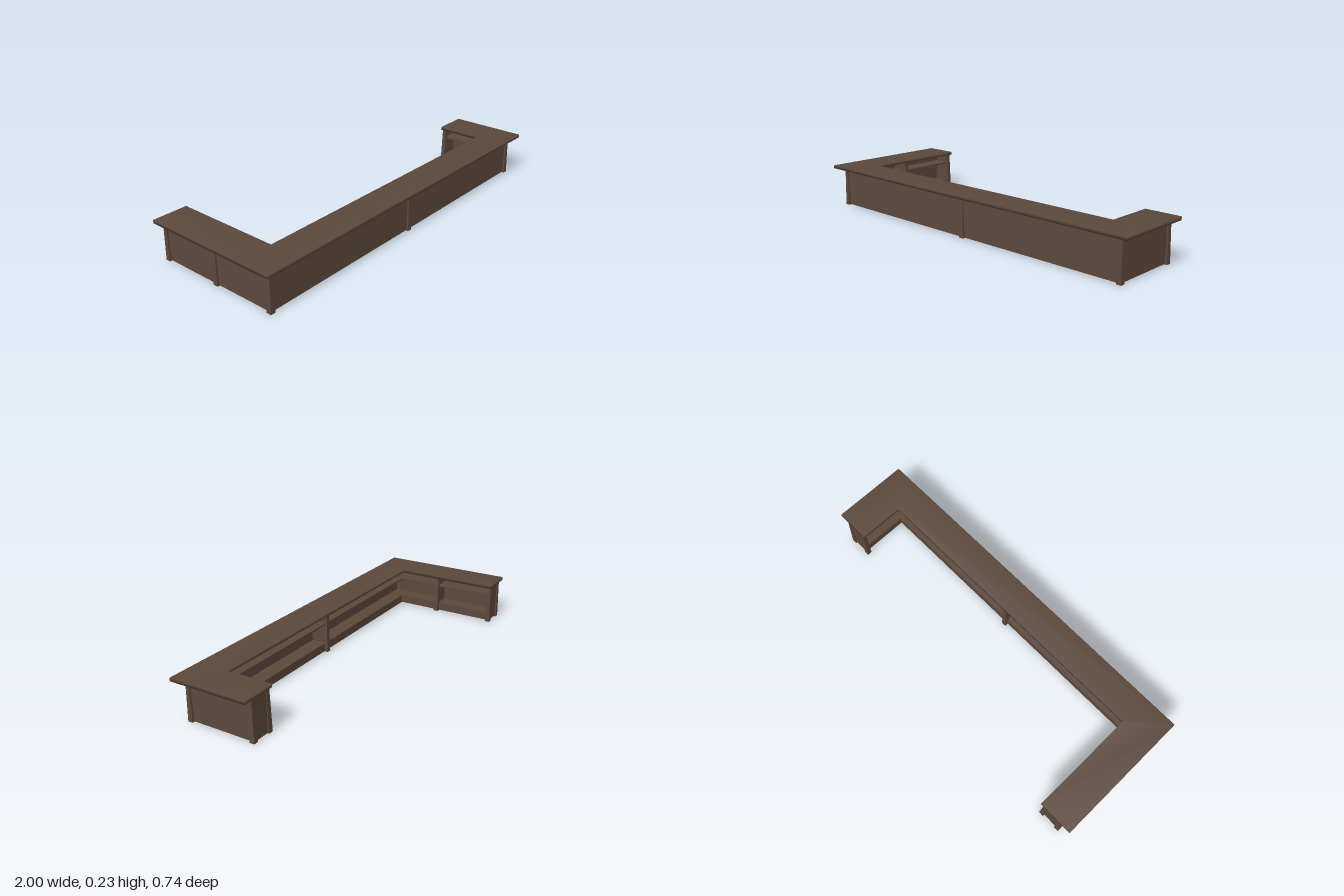
import * as THREE from 'three';
import { mergeVertices } from 'three/addons/utils/BufferGeometryUtils.js';

export function createModel() {
  const group = new THREE.Group();
  const wood = new THREE.MeshStandardMaterial({ color: 0x5c483b });
  wood.name = 'dark brown wood';

  const add = (name, geometry) => {
    const mesh = new THREE.Mesh(geometry, wood);
    mesh.name = name;
    group.add(mesh);
    return mesh;
  };

  // U-shaped slab: outer/inner half width, front/inner z, arm end z on each side
  const uSlab = (xo, xi, zf, zi, zLong, zShort, y0, y1) => {
    const shape = new THREE.Shape([
      [-xo, zf], [xo, zf], [xo, zShort], [xi, zShort],
      [xi, zi], [-xi, zi], [-xi, zLong], [-xo, zLong],
    ].map(([x, z]) => new THREE.Vector2(x, -z)));
    return new THREE.ExtrudeGeometry(shape, { depth: y1 - y0, bevelEnabled: false })
      .rotateX(-Math.PI / 2).translate(0, y0, 0);
  };

  // Counter top with softly blended edges
  let top = uSlab(1, 0.815, 0.368, 0.2, -0.367, -0.045, 0.21, 0.227);
  top.deleteAttribute('normal');
  top.deleteAttribute('uv');
  top = mergeVertices(top);
  top.computeVertexNormals();
  add('counterTop', top);

  // Outer wall, shelves and the plinth board under the lower shelf
  const zL = -0.352, zS = -0.033;
  add('outerPanel', uSlab(0.944, 0.932, 0.318, 0.306, zL, zS, 0.003, 0.21));
  add('middleShelf', uSlab(0.935, 0.845, 0.309, 0.222, zL, zS, 0.151, 0.161));
  add('lowerShelf', uSlab(0.935, 0.848, 0.309, 0.225, zL, zS, 0.037, 0.047));
  add('plinth', uSlab(0.86, 0.848, 0.237, 0.225, zL, zS, 0.002, 0.037));

  // Panels closing the arm ends, and dividers behind the middle posts
  const board = (name, w, d, x, z) =>
    add(name, new THREE.BoxGeometry(w, 0.207, d).translate(x, 0.1065, z));
  board('longArmEndPanel', 0.1, 0.01, -0.892, -0.354);
  board('shortArmEndPanel', 0.1, 0.01, 0.892, -0.034);
  board('frontDivider', 0.01, 0.09, 0.005, 0.267);
  board('longArmDivider', 0.09, 0.01, -0.89, -0.02);

  // Square posts that taper towards the top
  const post = (name, x, z) => {
    const r = Math.SQRT1_2;
    const g = new THREE.CylinderGeometry(0.019 * r, 0.026 * r, 0.21, 4, 1)
      .rotateY(Math.PI / 4).toNonIndexed();
    g.computeVertexNormals();
    add(name, g.translate(x, 0.105, z));
  };
  [
    [-0.942, 0.316], [0.005, 0.316], [0.942, 0.316],
    [-0.942, -0.02], [-0.942, -0.355], [0.942, -0.033],
  ].forEach(([x, z]) => post('outerPost', x, z));
  [
    [0.005, 0.22], [-0.84, -0.02], [-0.84, -0.355], [0.84, -0.033],
  ].forEach(([x, z]) => post('innerPost', x, z));

  return group;
}
